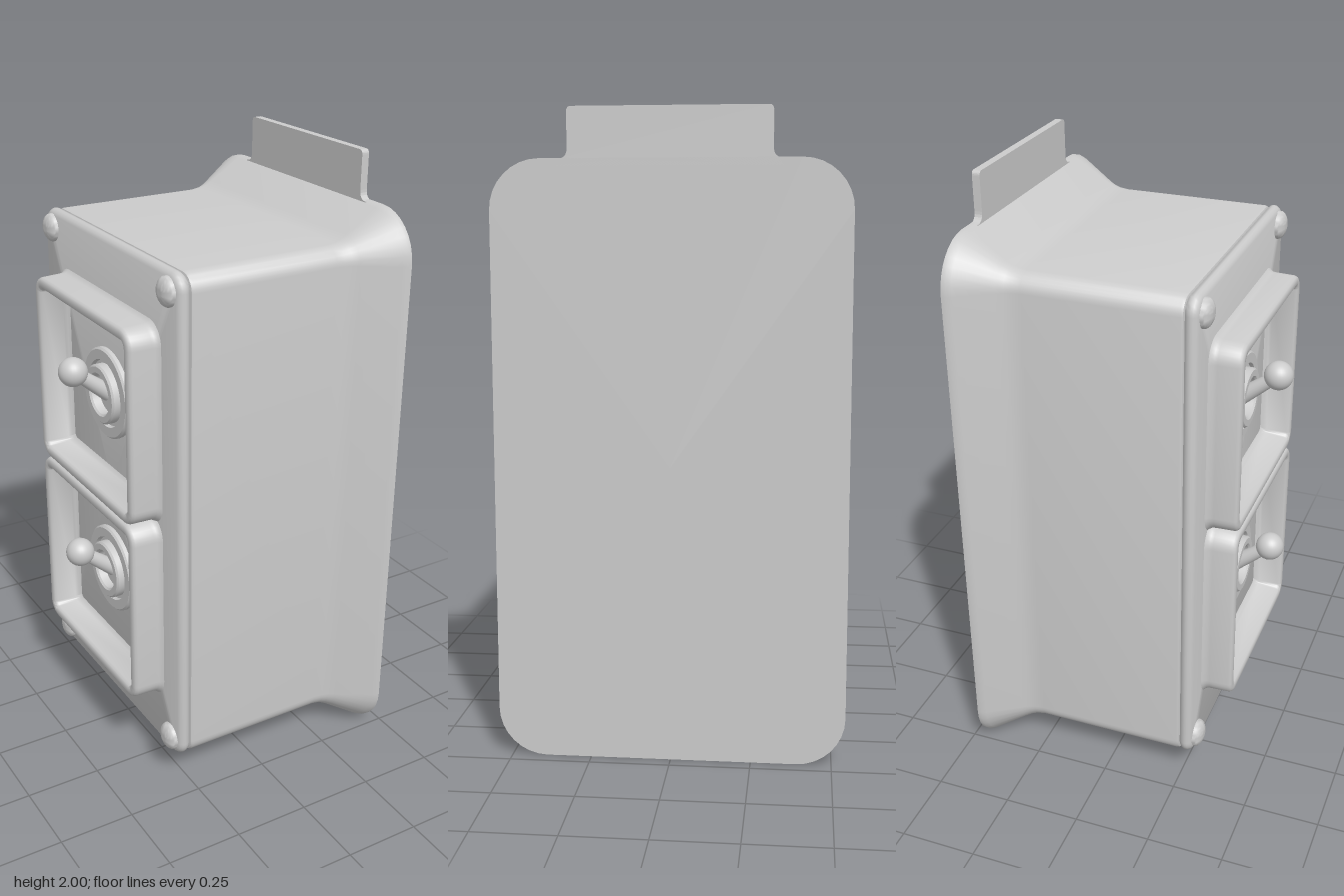
import * as THREE from 'three';
import { toCreasedNormals } from 'three/addons/utils/BufferGeometryUtils.js';

const material = new THREE.MeshStandardMaterial({ color: 0xcccccc });

function add(parent, name, geometry, x = 0, y = 0, z = 0) {
  const mesh = new THREE.Mesh(geometry, material);
  mesh.name = name;
  mesh.position.set(x, y, z);
  parent.add(mesh);
  return mesh;
}

// Rounded-rectangle loft along z; each section is [z, inset from the base outline]
function loft(halfW, halfH, radius, sections, caps = true) {
  const steps = 8, n = 4 * (steps + 1), pos = [], index = [];
  for (const [z, inset] of sections) {
    const r = Math.max(radius - inset, 0.015);
    for (let c = 0; c < 4; c++) {
      const sx = c === 0 || c === 3 ? 1 : -1, sy = c < 2 ? 1 : -1;
      for (let k = 0; k <= steps; k++) {
        const a = (c + k / steps) * Math.PI / 2;
        pos.push(sx * (halfW - inset - r) + r * Math.cos(a), sy * (halfH - inset - r) + r * Math.sin(a), z);
      }
    }
  }
  for (let i = 0; i < sections.length - 1; i++) {
    for (let j = 0; j < n; j++) {
      const a = i * n + j, b = i * n + (j + 1) % n;
      index.push(a, b, b + n, a, b + n, a + n);
    }
  }
  if (caps) {
    const last = (sections.length - 1) * n, mid = pos.length / 3;
    pos.push(0, 0, sections[0][0], 0, 0, sections[sections.length - 1][0]);
    for (let j = 0; j < n; j++) {
      const k = (j + 1) % n;
      index.push(mid, k, j, mid + 1, last + j, last + k);
    }
  }
  const g = new THREE.BufferGeometry();
  g.setAttribute('position', new THREE.Float32BufferAttribute(pos, 3));
  g.setIndex(index);
  return toCreasedNormals(g, 0.7);
}

// Lathe whose axis points out of the face (+z); points are [radius, height]
function turned(points, segments = 40) {
  const g = new THREE.LatheGeometry(points.map(p => new THREE.Vector2(...p)), segments);
  return toCreasedNormals(g.rotateX(Math.PI / 2), 0.6);
}

// Mounting tab outline with rounded top corners and fillets at the foot
function tabGeometry() {
  const w = 0.305, top = 2, foot = 1.848, f = 0.03, r = 0.015;
  const s = new THREE.Shape();
  s.moveTo(-w - f, foot - 0.02);
  s.lineTo(w + f, foot - 0.02);
  s.lineTo(w + f, foot);
  s.quadraticCurveTo(w, foot, w, foot + f);
  s.lineTo(w, top - r);
  s.quadraticCurveTo(w, top, w - r, top);
  s.lineTo(-w + r, top);
  s.quadraticCurveTo(-w, top, -w, top - r);
  s.lineTo(-w, foot + f);
  s.quadraticCurveTo(-w, foot, -w - f, foot);
  return new THREE.ExtrudeGeometry(s, { depth: 0.025, bevelEnabled: false, curveSegments: 6 });
}

function createSwitch(y) {
  const group = new THREE.Group();
  group.name = 'toggleSwitch';
  group.position.set(0, y, 0.289);
  // Flat washer with a hollow threaded collar
  add(group, 'switchCollar', turned([
    [0.15, 0], [0.15, 0.014], [0.144, 0.02], [0.112, 0.02], [0.108, 0.008], [0.098, 0.008],
    [0.098, 0.034], [0.092, 0.04], [0.072, 0.04], [0.066, 0.034], [0.066, 0.006], [0, 0.006]]));
  // Lever tilted upward, ending in a ball
  const start = new THREE.Vector3(0, 0, 0.005), end = new THREE.Vector3(0, 0.095, 0.126);
  const dir = end.clone().sub(start);
  const lever = add(group, 'switchLever', new THREE.CylinderGeometry(0.02, 0.028, dir.length(), 20));
  lever.position.copy(start).add(end).multiplyScalar(0.5);
  lever.quaternion.setFromUnitVectors(new THREE.Vector3(0, 1, 0), dir.normalize());
  add(group, 'switchBall', new THREE.SphereGeometry(0.047, 28, 20), end.x, end.y, end.z);
  return group;
}

export function createModel() {
  const root = new THREE.Group();
  root.name = 'switchBox';
  // Built facing +z, then turned so the switches face -x
  const box = new THREE.Group();
  box.name = 'switchBoxAssembly';
  box.rotation.y = -Math.PI / 2;
  root.add(box);

  // Box with a flared back plate
  add(box, 'boxBody', loft(0.445, 0.828, 0.055, [
    [-0.455, -0.097], [-0.44, -0.097], [-0.425, -0.09], [-0.32, -0.022], [-0.3, -0.011],
    [-0.28, -0.004], [-0.25, 0], [0.238, 0], [0.245, 0.003], [0.248, 0.01]]), 0, 0.925, 0);
  add(box, 'mountingTab', tabGeometry(), 0, 0, -0.455);

  // Front cover with rounded rim
  add(box, 'coverPlate', loft(0.447, 0.83, 0.055, [
    [0.245, 0.016], [0.252, 0.008], [0.259, 0.002], [0.268, 0], [0.276, 0.002],
    [0.284, 0.008], [0.29, 0.018]]), 0, 0.927, 0);

  // Two raised guards, each around one switch
  for (const y of [1.25, 0.606]) {
    add(box, 'switchGuard', loft(0.332, 0.322, 0.06, [
      [0.288, -0.014], [0.294, -0.007], [0.304, -0.001], [0.315, 0], [0.378, 0.002],
      [0.386, 0.006], [0.39, 0.014], [0.39, 0.03], [0.386, 0.037], [0.378, 0.041],
      [0.31, 0.046], [0.297, 0.051], [0.288, 0.062]], false), 0, y, 0);
    box.add(createSwitch(y));
  }

  // Domed corner screws
  const dome = [[0.046, -0.004], [0.046, 0.004]];
  for (let i = 1; i <= 8; i++) {
    const a = i / 8 * Math.PI / 2;
    dome.push([0.046 * Math.cos(a), 0.004 + 0.026 * Math.sin(a)]);
  }
  for (const x of [-0.385, 0.385]) {
    for (const y of [0.158, 1.697]) add(box, 'cornerScrew', turned(dome, 28), x, y, 0.289);
  }
  return root;
}
